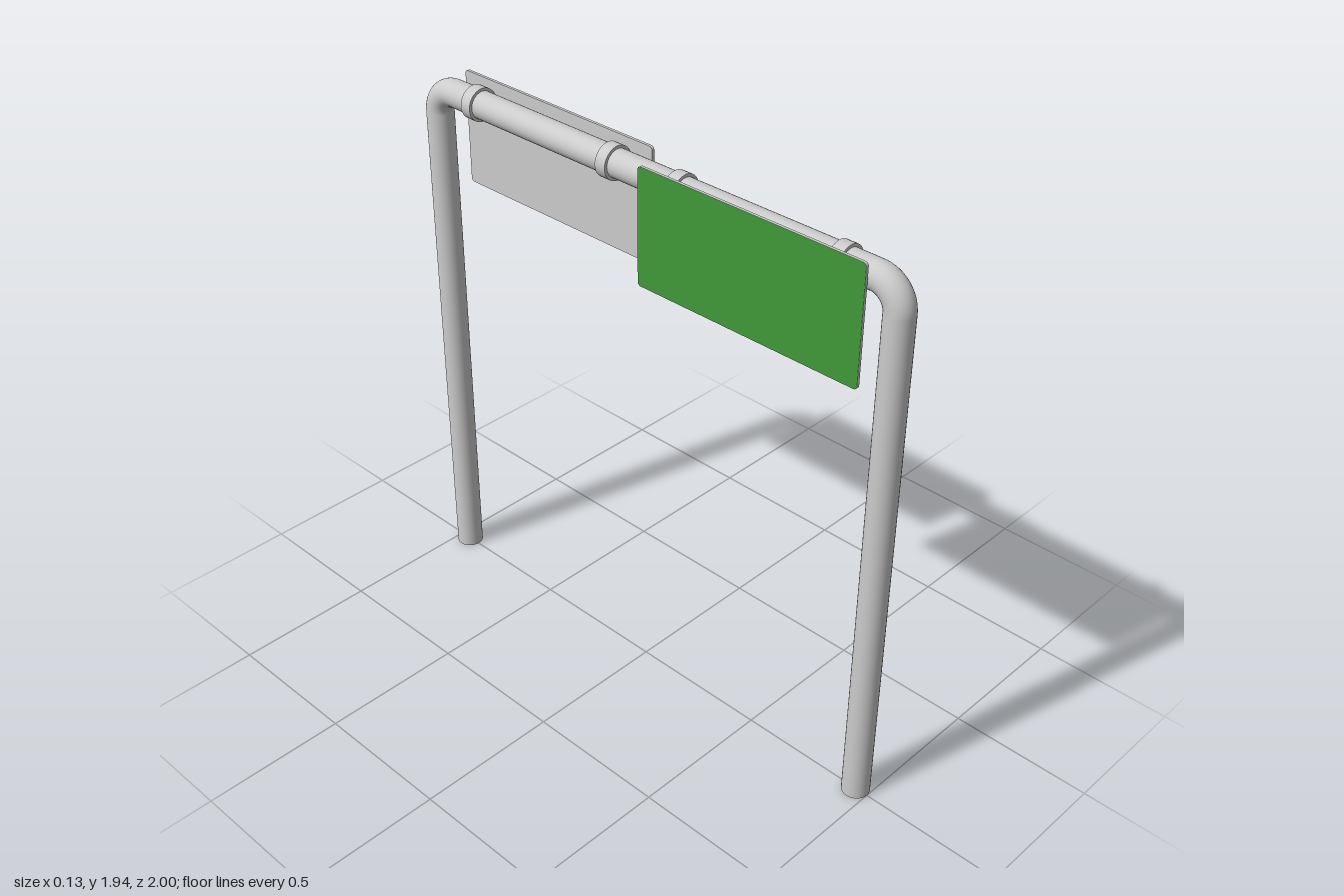
import * as THREE from 'three';

const R = 0.047;          // pipe radius
const BEND = 0.085;       // centre-line radius of the corner bends
const RAIL_Y = 1.873;     // height of the rail's centre line
const LEG_Z = 1 - R;      // distance of each leg from the middle

const grey = new THREE.MeshStandardMaterial({ color: 0xcccccc });
const green = new THREE.MeshStandardMaterial({ color: 0x3f9a38 });

function add(parent, name, geometry, material = grey) {
  const mesh = new THREE.Mesh(geometry, material);
  mesh.name = name;
  parent.add(mesh);
  return mesh;
}

// Rectangle with slightly rounded corners
function panelShape(x0, x1, y0, y1, r) {
  const s = new THREE.Shape();
  s.absarc(x1 - r, y1 - r, r, 0, Math.PI / 2);
  s.absarc(x0 + r, y1 - r, r, Math.PI / 2, Math.PI);
  s.absarc(x0 + r, y0 + r, r, Math.PI, Math.PI * 1.5);
  s.absarc(x1 - r, y0 + r, r, Math.PI * 1.5, Math.PI * 2);
  s.closePath();
  return s;
}

// One half of the gantry: leg, bend, half the rail, two clamps and a sign facing +x
function createHalf() {
  const half = new THREE.Group();

  const legHeight = RAIL_Y - BEND;
  add(half, 'leg', new THREE.CylinderGeometry(R, R, legHeight, 32))
    .position.set(0, legHeight / 2, -LEG_Z);

  const bend = new THREE.TorusGeometry(BEND, R, 32, 16, Math.PI / 2).rotateY(Math.PI / 2);
  add(half, 'cornerBend', bend).position.set(0, legHeight, -(LEG_Z - BEND));

  const railLength = LEG_Z - BEND;
  const rail = new THREE.CylinderGeometry(R, R, railLength, 32, 1, true).rotateX(Math.PI / 2);
  add(half, 'rail', rail).position.set(0, RAIL_Y, -railLength / 2);

  // Clamps around the rail
  for (const z of [-0.14, -0.755]) {
    const clamp = new THREE.CylinderGeometry(0.057, 0.057, 0.042, 32).rotateX(Math.PI / 2);
    add(half, 'clamp', clamp).position.set(0, RAIL_Y, z);
  }

  // Sign plate with a coloured face
  const shape = panelShape(0.029, 0.878, 1.537, 1.936, 0.012);
  const plate = new THREE.ExtrudeGeometry(shape, { depth: 0.01, bevelEnabled: false, curveSegments: 6 });
  add(half, 'signPlate', plate.rotateY(Math.PI / 2)).position.x = 0.055;
  const face = new THREE.ShapeGeometry(shape, 6).rotateY(Math.PI / 2);
  add(half, 'signFace', face, green).position.x = 0.066;

  return half;
}

export function createModel() {
  const model = new THREE.Group();
  model.name = 'signGantry';
  const back = createHalf();
  back.name = 'backHalf';
  const front = createHalf();
  front.name = 'frontHalf';
  front.rotation.y = Math.PI;
  model.add(back, front);
  return model;
}
